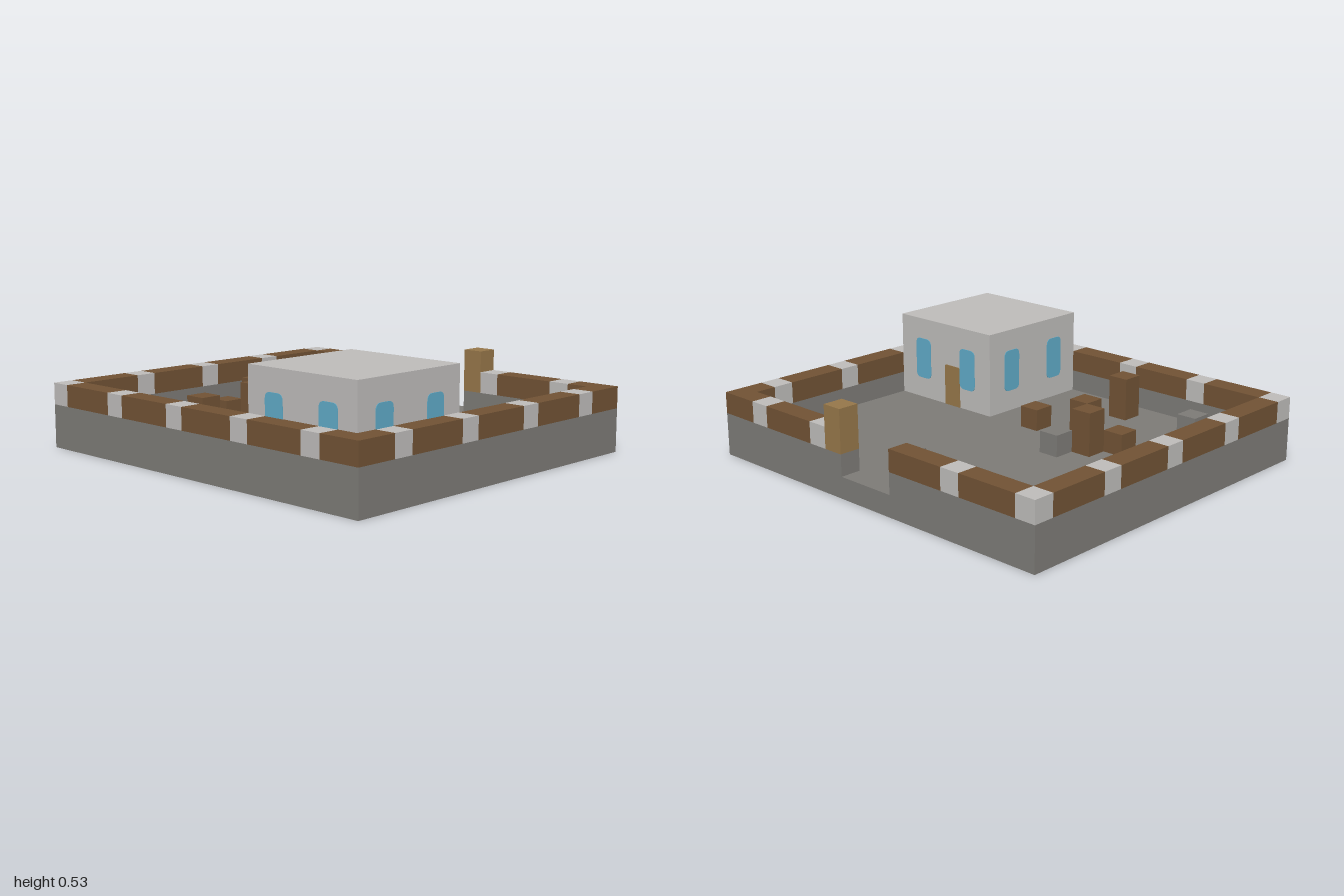
import * as THREE from 'three';

const U = 2 / 19;            // one block
const NX = 19, NZ = 17;      // plan size in blocks

function mat(name, color) {
  const m = new THREE.MeshStandardMaterial({ color });
  m.name = name;
  return m;
}

export function createModel() {
  const stone = mat('grey stone', 0x7c7a76);
  const wood = mat('dark wood', 0x705234);
  const plaster = mat('pale plaster', 0xbdbbb9);
  const timber = mat('light timber', 0x957649);
  const glass = mat('blue glass', 0x5fa9c6);

  const model = new THREE.Group();
  model.name = 'walledCourtyard';

  // Box given by its lowest corner and size, in blocks
  function box(name, material, x, y, z, w, h, d, parent = model) {
    const mesh = new THREE.Mesh(new THREE.BoxGeometry(w * U, h * U, d * U), material);
    mesh.position.set((x + w / 2 - NX / 2) * U, (y + h / 2) * U, (z + d / 2 - NZ / 2) * U);
    mesh.name = name;
    parent.add(mesh);
    return mesh;
  }

  // Floor slab
  box('floor', stone, 0, 0, 0, NX, 1, NZ);

  // Perimeter wall: stone course, then wood with a pale block every fourth cell
  const wall = new THREE.Group();
  wall.name = 'perimeterWall';
  model.add(wall);
  function wallRun(x, z, length, alongX) {
    const size = (n, h) => (alongX ? [n, h, 1] : [1, h, n]);
    const [w, h, d] = size(length, 1);
    box('wallBase', stone, x, 1, z, w, h, d, wall);
    const pale = (i) => (x + z + i) % 4 === 0;
    for (let i = 0; i < length;) {
      let n = 1;
      while (i + n < length && pale(i + n) === pale(i)) n++;
      const [sw, sh, sd] = size(n, 1);
      box(pale(i) ? 'paleBlock' : 'woodBeam', pale(i) ? plaster : wood,
        x + (alongX ? i : 0), 2, z + (alongX ? 0 : i), sw, sh, sd, wall);
      i += n;
    }
  }
  wallRun(0, 16, 19, true);     // front
  wallRun(0, 0, 8, true);       // back, either side of the gate
  wallRun(12, 0, 7, true);
  wallRun(0, 1, 15, false);     // sides
  wallRun(18, 1, 15, false);

  // Gate post beside the opening
  box('gatePostBase', stone, 11, 1, 0, 1, 1, 1);
  box('gatePost', timber, 11, 2, 0, 1, 2, 1);

  // House
  const house = new THREE.Group();
  house.name = 'house';
  model.add(house);
  box('houseBody', plaster, 12, 1, 10, 6, 4, 6, house);

  // Thin plate, one block wide and two tall, with rounded corners
  function plateGeometry(top, bottom) {
    const w = U / 2, h = U, s = new THREE.Shape();
    s.moveTo(-w + bottom, -h);
    s.lineTo(w - bottom, -h);
    s.quadraticCurveTo(w, -h, w, -h + bottom);
    s.lineTo(w, h - top);
    s.quadraticCurveTo(w, h, w - top, h);
    s.lineTo(-w + top, h);
    s.quadraticCurveTo(-w, h, -w, h - top);
    s.lineTo(-w, -h + bottom);
    s.quadraticCurveTo(-w, -h, -w + bottom, -h);
    return new THREE.ExtrudeGeometry(s, { depth: 0.003, bevelEnabled: false, curveSegments: 5 });
  }
  const pane = plateGeometry(0.03, 0.03);
  const center = [(15 - NX / 2) * U, (13 - NZ / 2) * U];

  // Two windows on each of the four sides
  for (let side = 0; side < 4; side++) {
    const face = new THREE.Group();
    face.name = 'houseSide';
    face.position.set(center[0], 0, center[1]);
    face.rotation.y = side * Math.PI / 2;
    for (const offset of [-1.5, 1.5]) {
      const win = new THREE.Mesh(pane, glass);
      win.name = 'window';
      win.position.set(offset * U, 3 * U, 3 * U);
      face.add(win);
    }
    house.add(face);
  }

  // Door on the courtyard side
  const door = new THREE.Mesh(plateGeometry(0.012, 0), timber);
  door.name = 'door';
  door.position.set((14.5 - NX / 2) * U, 2 * U, (10 - NZ / 2) * U);
  door.rotation.y = Math.PI;
  house.add(door);

  // Loose crates [x, z, height] and stones [x, z] in the yard
  for (const [x, z, h] of [[5, 9, 2], [4, 10, 1], [6, 10, 2], [9, 10, 1], [7, 14, 2]])
    box('crate', wood, x, 1, z, 1, h, 1);
  for (const [x, z] of [[9, 2], [6, 8], [3, 14]])
    box('stoneBlock', stone, x, 1, z, 1, 1, 1);

  return model;
}
